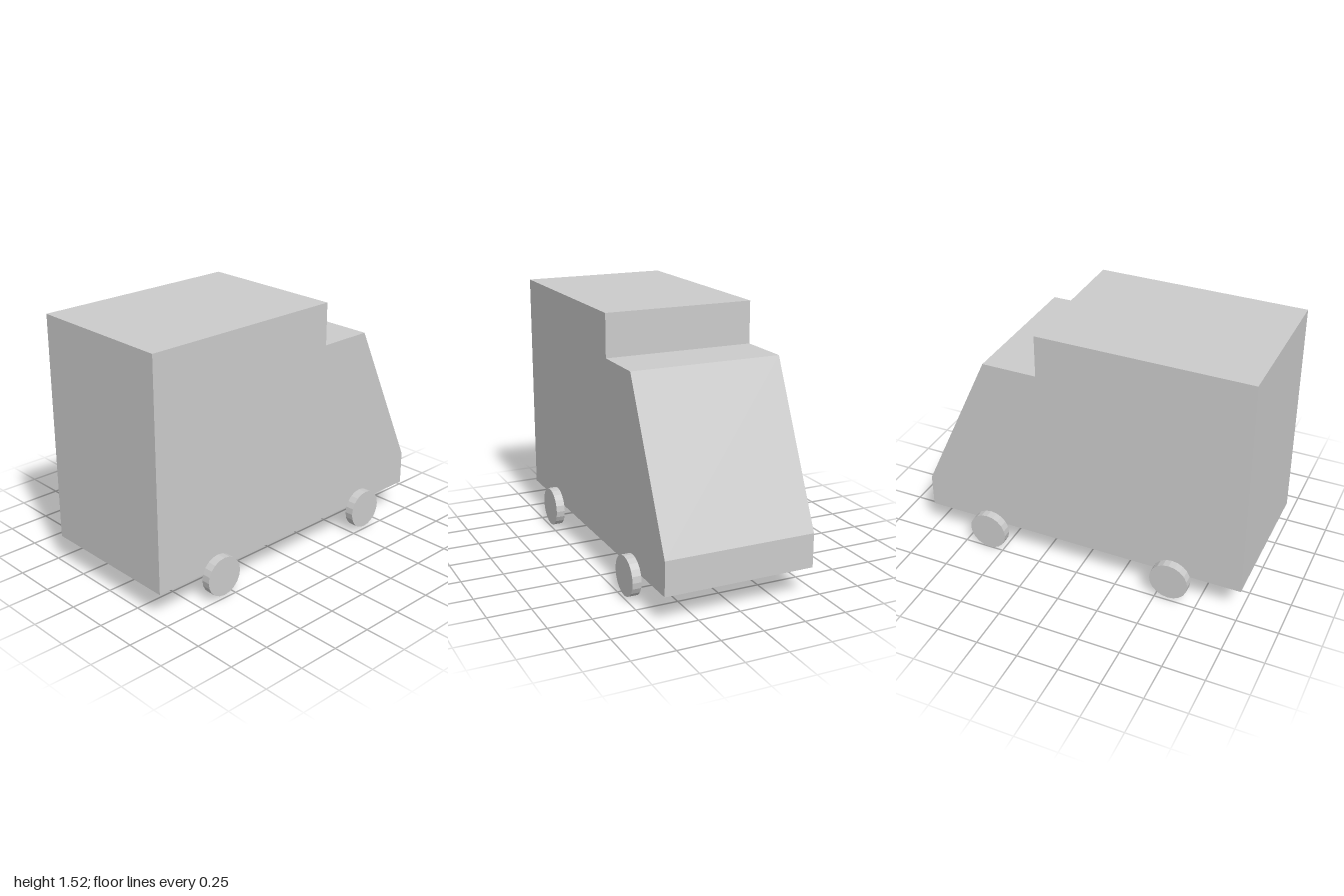
import * as THREE from 'three';

export function createModel() {
  const model = new THREE.Group();
  model.name = 'van';
  const material = new THREE.MeshStandardMaterial({ color: 0xcccccc, flatShading: true });

  // Body: side profile with cargo box, cab roof, sloped windscreen and short nose
  const halfWidth = 0.447;
  const profile = new THREE.Shape([
    [-1, 0.17], [1, 0.17], [1, 0.37], [0.58, 1.27],
    [0.25, 1.27], [0.25, 1.52], [-1, 1.52],
  ].map(([x, y]) => new THREE.Vector2(x, y)));
  const bodyGeometry = new THREE.ExtrudeGeometry(profile, { depth: halfWidth * 2, bevelEnabled: false });
  bodyGeometry.translate(0, 0, -halfWidth);
  const body = new THREE.Mesh(bodyGeometry, material);
  body.name = 'body';
  model.add(body);

  // Wheels: thin discs against the body sides; one front wheel sits a little lower
  const radius = 0.117, thickness = 0.053;
  const wheelGeometry = new THREE.CylinderGeometry(radius, radius, thickness, 20);
  wheelGeometry.rotateX(Math.PI / 2);
  const wheels = [
    ['frontWheelLeft', 0.594, 0.136, 1],
    ['frontWheelRight', 0.594, 0.117, -1],
    ['rearWheelLeft', -0.583, 0.136, 1],
    ['rearWheelRight', -0.583, 0.136, -1],
  ];
  for (const [name, x, y, side] of wheels) {
    const wheel = new THREE.Mesh(wheelGeometry, material);
    wheel.name = name;
    wheel.position.set(x, y, side * (halfWidth + thickness / 2));
    model.add(wheel);
  }
  return model;
}
